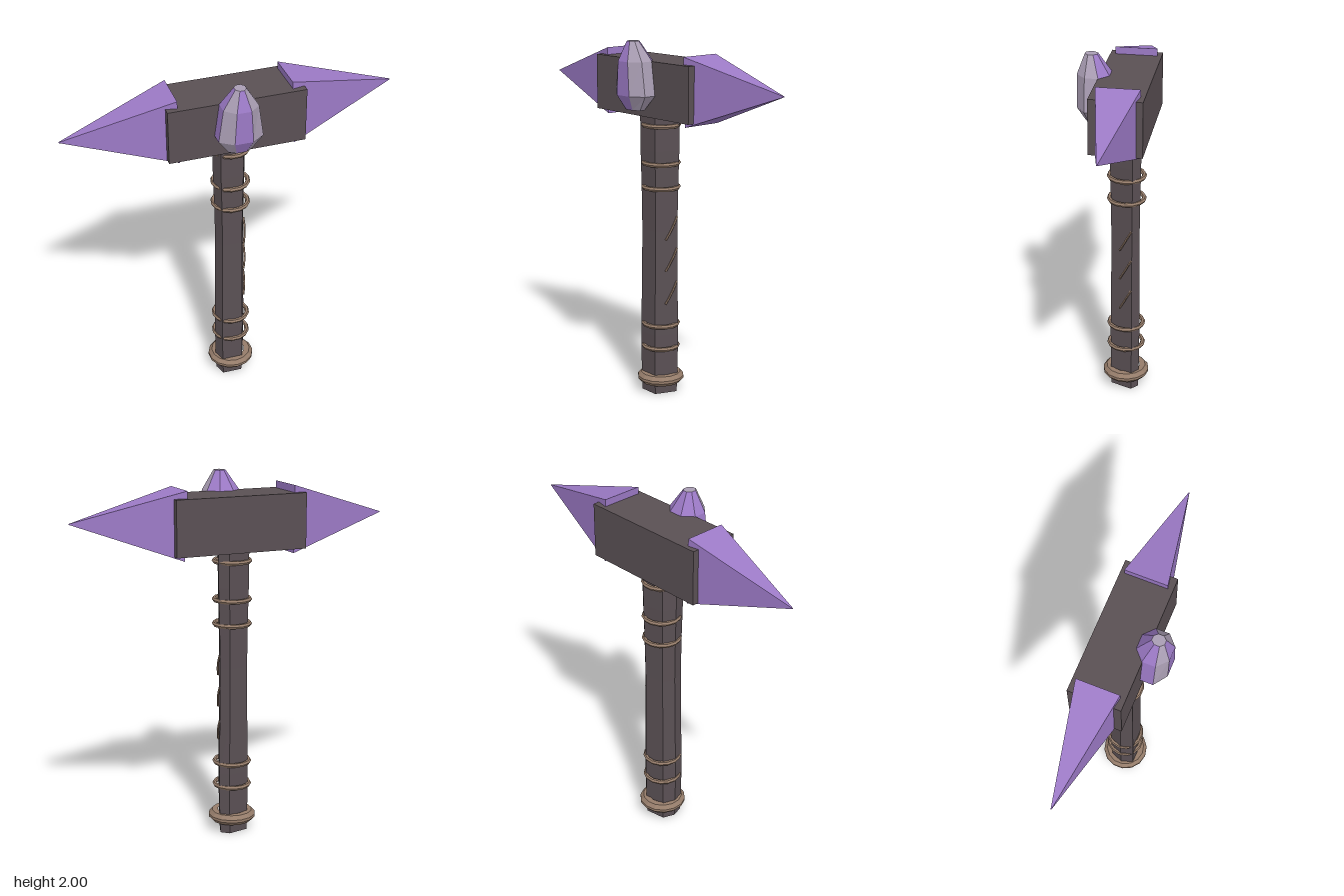
import * as THREE from 'three';

const mat = (name, color) => {
  const m = new THREE.MeshStandardMaterial({ color, flatShading: true });
  m.name = name;
  return m;
};

// Skins a stack of equal-length point rings; each ring runs counter-clockwise seen from the far end.
function loft(rings, keep = () => true, caps = [true, true]) {
  const pos = [];
  const tri = (a, b, c) => pos.push(...a, ...b, ...c);
  const n = rings[0].length;
  for (let r = 0; r < rings.length - 1; r++) {
    const a = rings[r], b = rings[r + 1];
    for (let i = 0; i < n; i++) {
      if (!keep(i)) continue;
      const j = (i + 1) % n;
      tri(a[i], a[j], b[j]);
      tri(a[i], b[j], b[i]);
    }
  }
  const first = rings[0], last = rings[rings.length - 1];
  for (let i = 1; i < n - 1; i++) {
    if (caps[0]) tri(first[0], first[i + 1], first[i]);
    if (caps[1]) tri(last[0], last[i], last[i + 1]);
  }
  const g = new THREE.BufferGeometry();
  g.setAttribute('position', new THREE.Float32BufferAttribute(pos, 3));
  g.computeVertexNormals();
  return g;
}

export function createModel() {
  const model = new THREE.Group();
  const dark = mat('dark iron', 0x5a5054);
  const purple = mat('purple crystal', 0x9c7ac6);
  const pale = mat('pale crystal', 0xaa9eb4);
  const bronze = mat('bronze', 0x957c6a);
  const axisZ = -0.065;

  const add = (name, geometry, material, x = 0, y = 0, z = 0) => {
    const m = new THREE.Mesh(geometry, material);
    m.name = name;
    m.position.set(x, y, z);
    model.add(m);
    return m;
  };

  // Hammer head block
  add('headBlock', new THREE.BoxGeometry(0.745, 0.3, 0.28), dark, -0.002, 1.745, -0.0625);

  // Pyramid spikes, slightly uneven
  const spike = (name, s, topX, bottomX, tipX, tipY) => {
    const base = [[-1, -1], [1, -1], [1, 1], [-1, 1]];
    add(name, loft([
      base.map(([v, w]) => [s * (v > 0 ? topX : bottomX), 1.7525 + v * 0.1825, axisZ + s * w * 0.115]),
      base.map(([v, w]) => [s * tipX, tipY + v * 0.002, axisZ + s * w * 0.002]),
    ]), purple);
  };
  spike('leftSpike', 1, 0.3, 0.318, 0.9, 1.785);
  spike('rightSpike', -1, 0.315, 0.31, 0.905, 1.745);

  // Hand-cut six-sided handle
  const section = [[0.095, -0.045], [0.05, -0.083], [-0.07, -0.06], [-0.098, 0.01], [-0.075, 0.08], [0.045, 0.082]];
  const profile = [[0, 0.93], [0.12, 0.98], [0.35, 1.01], [0.65, 0.96], [0.95, 0.93], [1.2, 0.97], [1.4, 1.03], [1.61, 1.05]];
  add('handle', loft(profile.map(([y, k]) => section.map(([x, z]) => [x * k, y, axisZ + z * (0.7 * k + 0.3)]))), dark);

  // Wire bands around the handle
  for (const y of [0.27, 0.403, 1.19, 1.325, 1.535]) {
    const band = add('band', new THREE.TorusGeometry(0.096, 0.013, 6, 14), bronze, 0, y, axisZ);
    band.rotation.x = Math.PI / 2;
  }

  // Pommel collar
  const collar = [[0.08, 0.056], [0.112, 0.056], [0.131, 0.077], [0.131, 0.092], [0.112, 0.113], [0.08, 0.113]];
  add('pommelCollar', new THREE.LatheGeometry(collar.map(([x, y]) => new THREE.Vector2(x, y)), 14), bronze, 0, 0, axisZ);

  // Slanted wire strands on the left side of the grip
  for (const y of [0.53, 0.72, 0.9]) {
    const path = new THREE.QuadraticBezierCurve3(
      new THREE.Vector3(0.07, y, -0.038),
      new THREE.Vector3(0.093, y + 0.065, -0.07),
      new THREE.Vector3(0.09, y + 0.13, -0.105));
    add('gripStrand', new THREE.TubeGeometry(path, 4, 0.006, 5), bronze);
  }

  // Faceted gem on the front: height, width radius, depth radius, centre z
  const gem = [[1.635, 0.067, 0.04, 0.115], [1.715, 0.13, 0.093, 0.11], [1.895, 0.102, 0.093, 0.11], [2, 0.032, 0.036, 0.125]];
  const gemRings = gem.map(([y, rx, rz, cz]) => Array.from({ length: 8 }, (_, i) => {
    const a = (i + 0.5) * Math.PI / 4;
    return [-0.01 + Math.cos(a) * rx, y, cz - Math.sin(a) * rz];
  }));
  const isPale = (i) => i === 4 || i === 6 || i === 7;
  add('gemFacets', loft(gemRings, (i) => !isPale(i), [true, false]), purple);
  add('gemPaleFacets', loft(gemRings, isPale, [false, true]), pale);

  return model;
}
